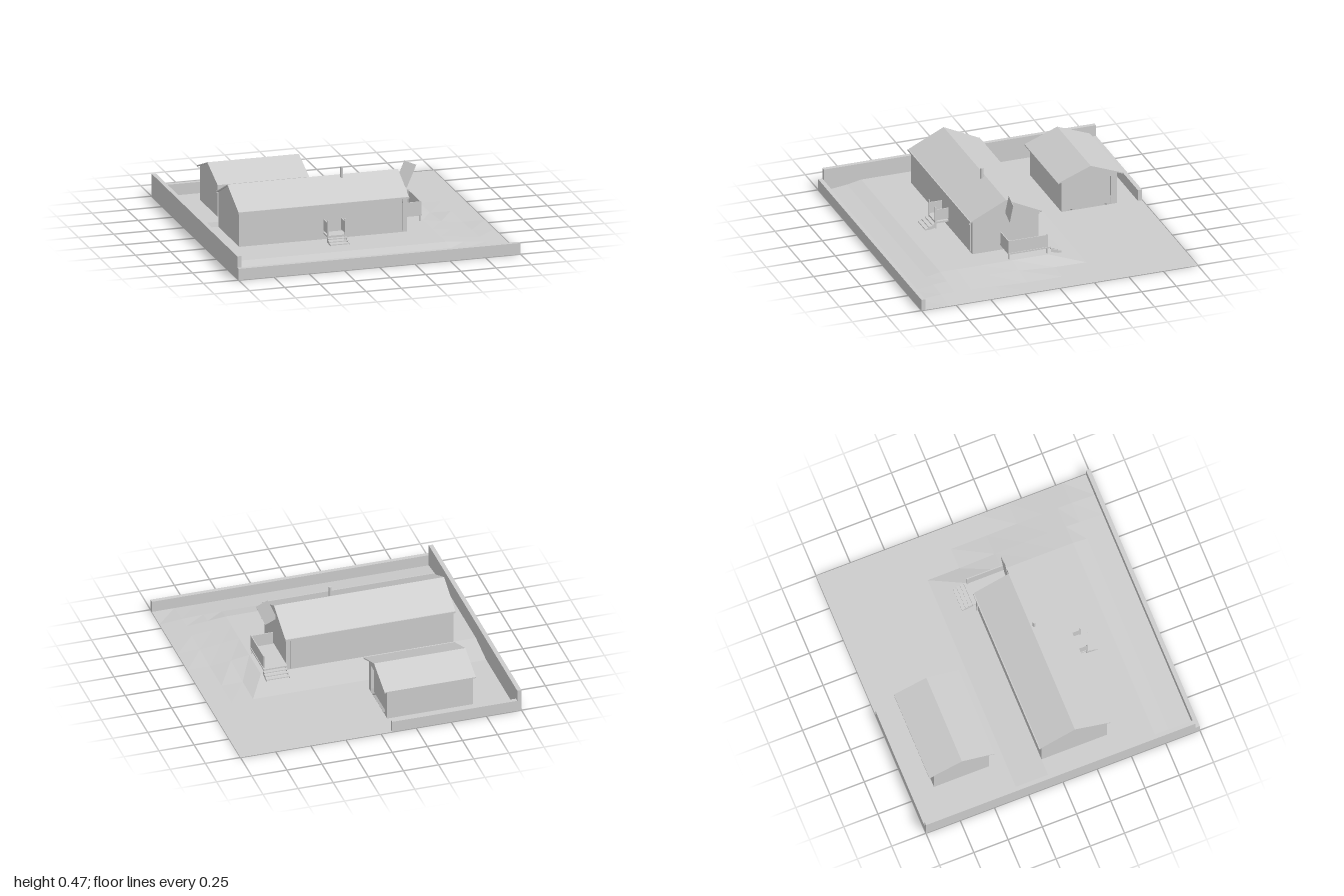
import * as THREE from 'three';

const grey = new THREE.MeshStandardMaterial({ color: 0xcccccc, side: THREE.DoubleSide, name: 'plain grey' });

function add(parent, name, geometry) {
  const mesh = new THREE.Mesh(geometry, grey);
  mesh.name = name;
  parent.add(mesh);
  return mesh;
}

// Box given by its limits on each axis
function box(parent, name, x0, x1, y0, y1, z0, z1) {
  const g = new THREE.BoxGeometry(x1 - x0, y1 - y0, z1 - z0);
  g.translate((x0 + x1) / 2, (y0 + y1) / 2, (z0 + z1) / 2);
  return add(parent, name, g);
}

// Ground height: a low plateau around the house with sloping banks
function groundHeight(x, z) {
  const ramp = (v, from, to) => THREE.MathUtils.clamp((v - from) / (to - from), 0, 1);
  const toe = 0.69 + 0.31 * ramp(z, -0.1, 0.58);
  const side = 1 - ramp(x, 0.56, toe);
  const back = ramp(z, -0.31, -0.09);
  const front = z < 0.8 ? 1 - 0.5 * ramp(z, 0.7, 0.8) : 0.5 * (1 - ramp(z, 0.8, 0.97));
  return 0.04 * Math.min(side, back, front);
}

// Ground sheet, left open under both buildings
function ground(footprints) {
  const xs = [-1, -0.97, -0.81, -0.71, -0.1, 0.38, 0.56, 0.69, 0.84, 1];
  const zs = [-1, -0.82, -0.425, -0.31, -0.08, 0.18, 0.4, 0.58, 0.7, 0.8, 0.97, 1];
  const pos = [], index = [];
  for (const z of zs) for (const x of xs) pos.push(x, groundHeight(x, z), z);
  for (let j = 0; j < zs.length - 1; j++) {
    for (let i = 0; i < xs.length - 1; i++) {
      const cx = (xs[i] + xs[i + 1]) / 2, cz = (zs[j] + zs[j + 1]) / 2;
      if (footprints.some(f => cx > f.x0 && cx < f.x1 && cz > f.z0 && cz < f.z1)) continue;
      const a = j * xs.length + i, b = a + 1, c = a + xs.length, d = c + 1;
      index.push(a, c, b, b, c, d);
    }
  }
  const g = new THREE.BufferGeometry();
  g.setAttribute('position', new THREE.Float32BufferAttribute(pos, 3));
  g.setIndex(index);
  const flat = g.toNonIndexed();
  flat.computeVertexNormals();
  return flat;
}

// Open-bottomed gabled walls with a thin pitched roof along x
function building(name, f, r) {
  const group = new THREE.Group();
  group.name = name;
  const zc = (f.z0 + f.z1) / 2, half = (f.z1 - f.z0) / 2;
  for (const x of [f.x0, f.x1]) {
    const s = new THREE.Shape([[-half, f.y0], [half, f.y0], [half, f.eave], [0, f.ridge], [-half, f.eave]]
      .map(p => new THREE.Vector2(...p)));
    if (f.door && x === f.x1) {
      const [w, h] = f.door;
      s.holes.push(new THREE.Path([[-w, 0.002], [-w, h], [w, h], [w, 0.002]].map(p => new THREE.Vector2(...p))));
    }
    const g = new THREE.ShapeGeometry(s).rotateY(x === f.x1 ? Math.PI / 2 : -Math.PI / 2);
    add(group, 'gableWall', g.translate(x, 0, zc));
  }
  for (const [z, turn] of [[f.z1, 0], [f.z0, Math.PI]]) {
    const g = new THREE.PlaneGeometry(f.x1 - f.x0, f.eave - f.y0).rotateY(turn);
    add(group, 'longWall', g.translate((f.x0 + f.x1) / 2, (f.eave + f.y0) / 2, z));
  }
  const t = 0.008;
  const roof = new THREE.Shape([[-r.half, r.eave - t], [0, r.ridge - t], [r.half, r.eave - t],
    [r.half, r.eave], [0, r.ridge], [-r.half, r.eave]].map(p => new THREE.Vector2(...p)));
  const rg = new THREE.ExtrudeGeometry(roof, { depth: r.x1 - r.x0, bevelEnabled: false });
  add(group, 'roof', rg.rotateY(Math.PI / 2).translate(r.x0, 0, zc));
  return group;
}

// Steps descending along z away from a platform edge
function steps(parent, x0, x1, z, dir) {
  for (let i = 0; i < 3; i++) {
    const a = z + dir * i * 0.025, b = a + dir * 0.026, top = 0.076 - i * 0.013;
    box(parent, 'step', x0, x1, top - 0.006, top, Math.min(a, b), Math.max(a, b));
  }
  // Sloping side stringers
  for (const x of [x0, x1 - 0.005]) {
    const s = new THREE.Shape([[0, 0.05], [0, 0.074], [0.075, 0.045], [0.075, 0.035], [0.05, 0.035]]
      .map(p => new THREE.Vector2(p[0] * dir, p[1])));
    const g = new THREE.ExtrudeGeometry(s, { depth: 0.005, bevelEnabled: false });
    add(parent, 'stepStringer', g.rotateY(-Math.PI / 2).translate(x + 0.005, 0, z));
  }
}

export function createModel() {
  const model = new THREE.Group();
  model.name = 'houseAndYard';

  const houseSize = { x0: -0.81, x1: 0.38, z0: -0.08, z1: 0.4, y0: 0.035, eave: 0.286, ridge: 0.403 };
  const garageSize = { x0: -0.71, x1: -0.1, z0: -0.825, z1: -0.425, y0: 0, eave: 0.243, ridge: 0.318, door: [0.157, 0.21] };
  add(model, 'ground', ground([houseSize, garageSize]));

  // Boundary walls
  box(model, 'frontBoundaryWall', -1, 1, 0, 0.08, 0.97, 1);
  box(model, 'sideBoundaryWall', -1, -0.97, 0, 0.16, -1, 0.97);
  box(model, 'backBoundaryWall', -0.97, -0.08, 0, 0.08, -1, -0.97);

  // House with gutters, downpipes and flue
  const house = building('house', houseSize, { x0: -0.82, x1: 0.39, half: 0.257, eave: 0.288, ridge: 0.412 });
  for (const side of [-1, 1]) {
    const at = d => 0.16 + side * d;
    const zBox = (name, x0, x1, y0, y1, a, b) =>
      box(house, name, x0, x1, y0, y1, Math.min(at(a), at(b)), Math.max(at(a), at(b)));
    zBox('gutter', -0.82, 0.39, 0.278, 0.29, 0.25, 0.26);
    zBox('downpipe', 0.346, 0.354, 0.05, 0.256, 0.241, 0.249);
    zBox('downpipeElbow', 0.346, 0.354, 0.25, 0.28, 0.246, 0.256);
  }
  const flue = new THREE.CylinderGeometry(0.011, 0.011, 0.085, 12);
  add(house, 'flue', flue.translate(-0.017, 0.43, 0.184));
  const panel = add(house, 'gablePanel', new THREE.BoxGeometry(0.092, 0.17, 0.003));
  panel.position.set(0.445, 0.369, 0.157);
  panel.rotation.z = -0.41;
  model.add(house);

  // Front porch
  const porch = new THREE.Group();
  porch.name = 'frontPorch';
  box(porch, 'porchFloor', -0.213, -0.08, 0.078, 0.09, 0.4, 0.495);
  for (const x of [-0.208, -0.085]) {
    box(porch, 'porchPost', x - 0.005, x + 0.005, 0.036, 0.2, 0.487, 0.497);
    box(porch, 'porchRail', x - 0.003, x + 0.003, 0.1, 0.18, 0.4, 0.49);
  }
  steps(porch, -0.215, -0.078, 0.495, 1);
  model.add(porch);

  // Side deck
  const deck = new THREE.Group();
  deck.name = 'sideDeck';
  box(deck, 'deckFloor', 0.38, 0.548, 0.078, 0.088, -0.105, 0.2);
  box(deck, 'deckFrontRail', 0.385, 0.543, 0.088, 0.178, 0.194, 0.2);
  box(deck, 'deckSideRail', 0.537, 0.543, 0.088, 0.178, -0.08, 0.2);
  for (const z of [-0.08, 0.193]) box(deck, 'deckPost', 0.533, 0.543, 0.03, 0.18, z - 0.005, z + 0.005);
  steps(deck, 0.385, 0.552, -0.105, -1);
  model.add(deck);

  // Garage with recessed door
  const garage = building('garage', garageSize, { x0: -0.72, x1: -0.07, half: 0.237, eave: 0.235, ridge: 0.327 });
  box(garage, 'garageDoor', -0.125, -0.12, 0, 0.212, -0.784, -0.466);
  model.add(garage);

  return model;
}
